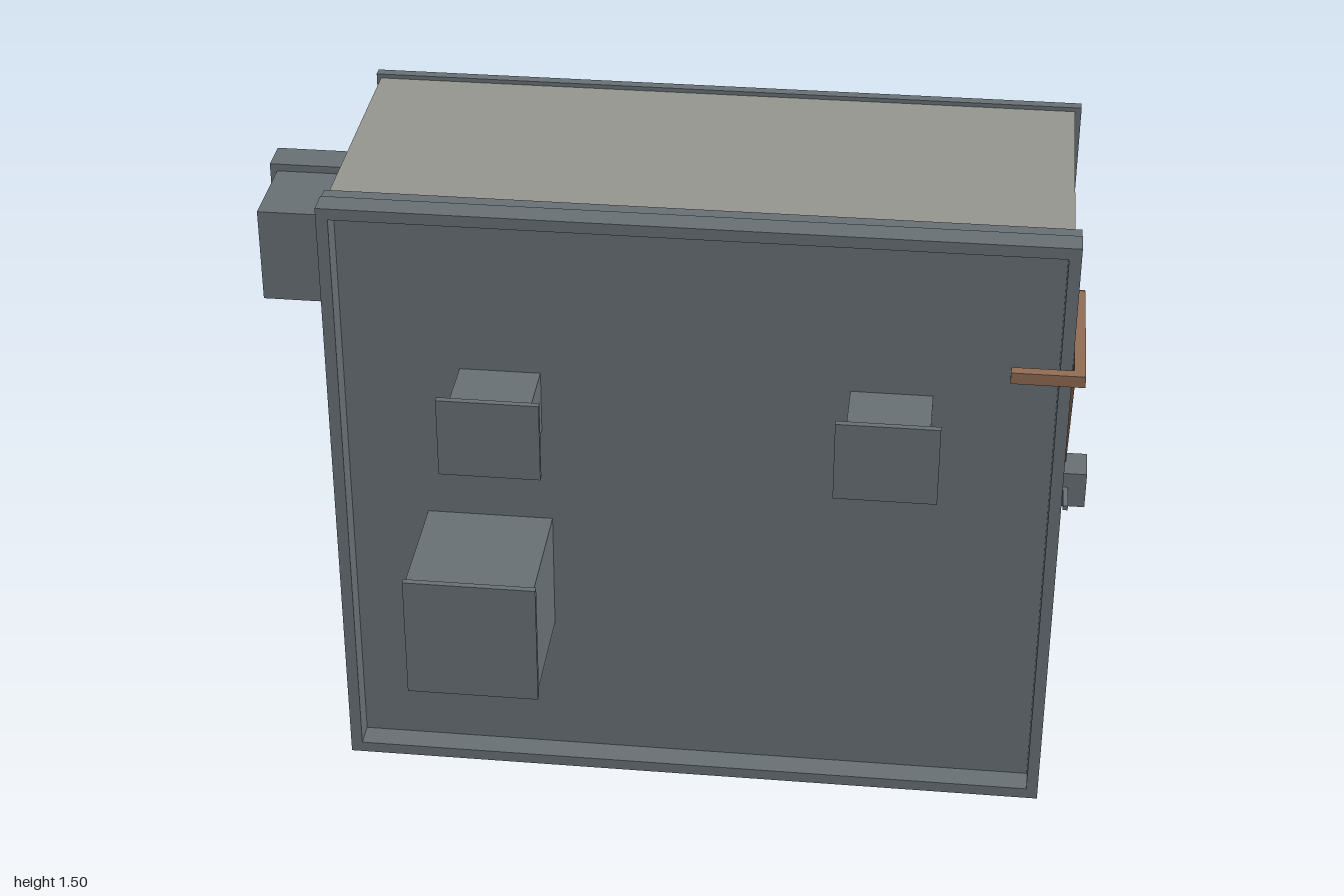
import * as THREE from 'three';

const mat = (name, color) => {
  const m = new THREE.MeshStandardMaterial({ color });
  m.name = name;
  return m;
};

export function createModel() {
  const steel = mat('dark steel', 0x687175);
  const shell = mat('grey shell', 0x969690);
  const copper = mat('brown lever', 0x916c55);
  const root = new THREE.Group();
  root.name = 'cabinet';

  const group = (name) => {
    const g = new THREE.Group();
    g.name = name;
    root.add(g);
    return g;
  };

  // Box given by its limits on each axis
  const box = (name, x0, x1, y0, y1, z0, z1, material, parent = root) => {
    const m = new THREE.Mesh(new THREE.BoxGeometry(x1 - x0, y1 - y0, z1 - z0), material);
    m.name = name;
    m.position.set((x0 + x1) / 2, (y0 + y1) / 2, (z0 + z1) / 2);
    parent.add(m);
    return m;
  };

  // Rectangular ring standing in the xy plane
  const ring = (name, x0, x1, y0, y1, w, z0, z1) => {
    const g = group(name);
    box('bottomBar', x0, x1, y0, y0 + w, z0, z1, steel, g);
    box('topBar', x0, x1, y1 - w, y1, z0, z1, steel, g);
    box('rightBar', x0, x0 + w, y0 + w, y1 - w, z0, z1, steel, g);
    box('leftBar', x1 - w, x1, y0 + w, y1 - w, z0, z1, steel, g);
  };

  // Back plate, recessed front panel and its angle-iron frame
  box('backPlate', -0.74, 0.925, 0.012, 1.5, -0.485, -0.46, steel);
  box('frontPanel', -0.73, 0.91, 0.02, 1.485, 0.15, 0.18, steel);
  ring('rearFrame', -0.74, 0.925, 0.015, 1.495, 0.03, 0.14, 0.172);
  ring('innerFrame', -0.735, 0.918, 0.022, 1.488, 0.025, 0.172, 0.18);
  ring('frontFrame', -0.74, 0.925, 0.015, 1.5, 0.027, 0.18, 0.24);

  // Hollow shell: roof, floor with a hatch opening, side walls with windows
  const zb = -0.46, zf = 0.15;
  box('roof', -0.73, 0.91, 1.465, 1.49, zb, zf, shell);
  const floor = group('floor');
  box('floorRight', -0.73, -0.26, 0.02, 0.04, zb, zf, shell, floor);
  box('floorLeft', 0.22, 0.91, 0.02, 0.04, zb, zf, shell, floor);
  box('floorFront', -0.26, 0.22, 0.02, 0.04, 0.03, zf, shell, floor);

  for (const [side, x0, x1, r0, r1] of [
    ['right', -0.73, -0.71, -0.747, -0.73],
    ['left', 0.89, 0.91, 0.91, 0.927],
  ]) {
    const wall = group(side + 'Wall');
    box('lowerWall', x0, x1, 0.04, 0.74, zb, zf, shell, wall);
    box('upperWall', x0, x1, 0.98, 1.465, zb, zf, shell, wall);
    box('rearWall', x0, x1, 0.74, 0.98, zb, -0.31, shell, wall);
    box('frontWall', x0, x1, 0.74, 0.98, -0.06, zf, shell, wall);
    // Slide rails above and below the window
    for (const y of [0.736, 0.978])
      box('windowRail', r0, r1, y, y + 0.009, -0.27, -0.055, steel, wall);
  }

  // Sliding hatch under the floor
  const hatch = group('floorHatch');
  for (const x of [-0.27, 0.225])
    box('hatchRail', x, x + 0.015, 0, 0.02, zb, 0.03, steel, hatch);
  box('hatchPlate', -0.22, 0.225, 0.01, 0.02, zb, -0.04, steel, hatch);
  box('hatchHandle', 0, 0.2, 0.01, 0.025, -0.02, 0.01, copper, hatch);

  // Ducts on the front, each with a thin flange
  for (const [name, x0, x1, y0, y1, z, f] of [
    ['upperRightDuct', -0.445, -0.26, 0.93, 1.08, 0.345, 0.023],
    ['upperLeftDuct', 0.44, 0.625, 0.93, 1.08, 0.345, 0.023],
    ['largeDuct', -0.533, -0.24, 0.395, 0.69, 0.47, 0.005],
  ]) {
    const g = group(name);
    box('duct', x0, x1, y0, y1, 0.17, z, steel, g);
    box('flange', x0 - f, x1 + f, y0 - f + 0.002, y1 + f - 0.002, z, z + 0.015, steel, g);
  }

  // Side duct opening to the back
  const sideDuct = group('sideDuct');
  box('duct', -0.983, -0.73, 1.03, 1.262, -0.395, -0.18, steel, sideDuct);
  box('collar', -1, -0.732, 1.012, 1.28, -0.482, -0.395, steel, sideDuct);

  // Cranked lever with pivot block and pin
  const lever = group('lever');
  const dy = 1.24 - 0.29, dz = 0.415;
  const arm = new THREE.Mesh(new THREE.BoxGeometry(0.025, Math.hypot(dy, dz), 0.027), copper);
  arm.name = 'leverArm';
  arm.position.set(0.937, 0.765, -0.242);
  arm.rotation.x = Math.atan2(dz, dy);
  lever.add(arm);
  box('leverReach', 0.925, 0.95, 1.223, 1.25, -0.035, 0.35, copper, lever);
  box('leverGrip', 0.79, 0.925, 1.223, 1.25, 0.325, 0.35, copper, lever);
  box('pivotBlock', 0.92, 1, 0.55, 0.643, -0.322, -0.227, steel, lever);
  box('pivotPin', 0.945, 0.957, 0.592, 0.604, -0.23, -0.143, steel, lever);

  return root;
}
